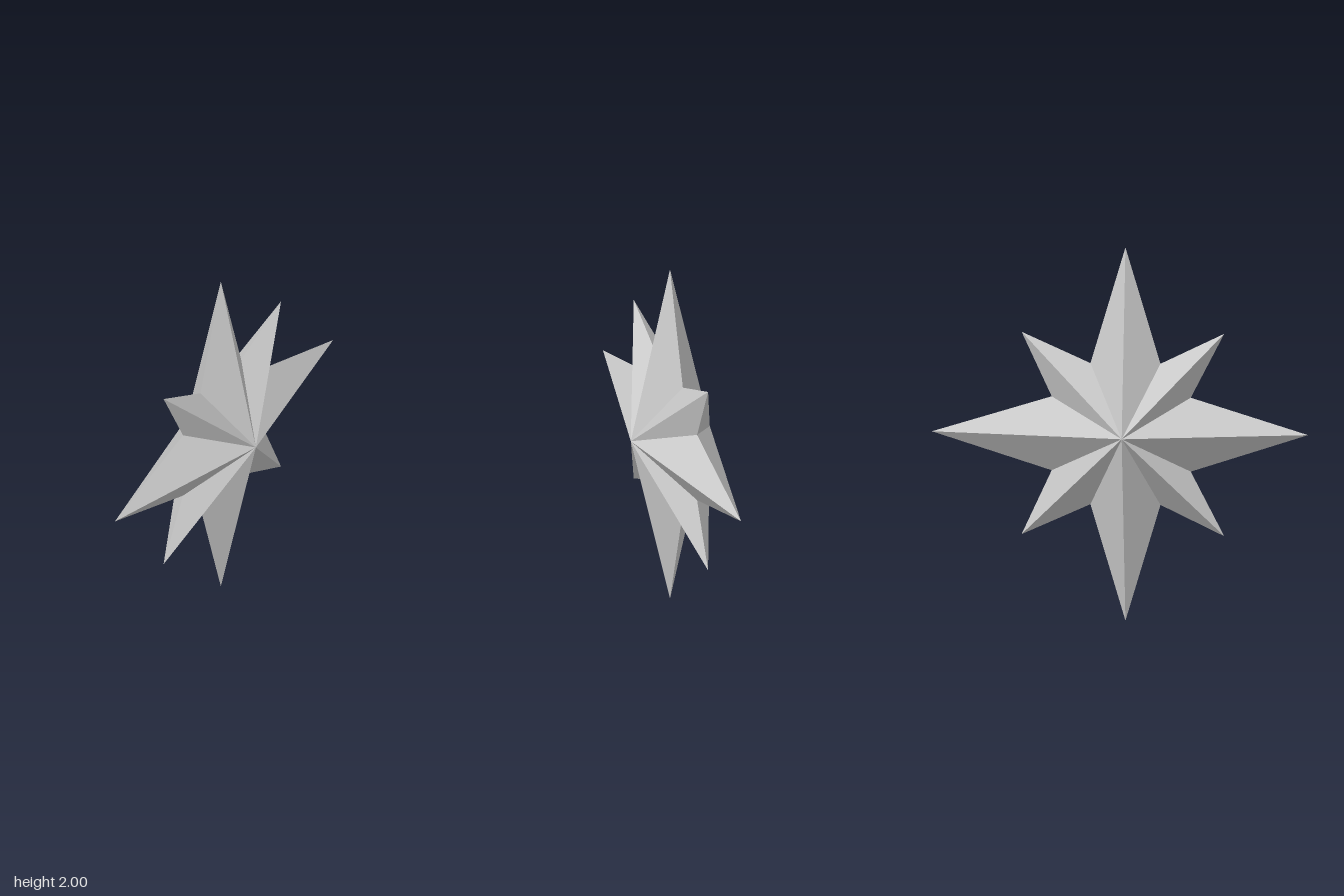
import * as THREE from 'three';

const MID_Y = 1.004;   // height of the horizontal points
const APEX_X = 0.225;  // half thickness at the hub
const APEX_Z = 0.025;

// Upper half of the star outline as [z, y], from the front point over the top to the back point
const UPPER = [
  [1, MID_Y], [0.376, 1.198], [0.554, 1.542], [0.215, 1.378], [0.029, 2],
  [-0.157, 1.378], [-0.523, 1.542], [-0.363, 1.198], [-1, MID_Y],
];

export function createModel() {
  // Mirror the upper half downwards to close the outline
  const lower = UPPER.slice(1, -1).reverse().map(([z, y]) => [z, Math.max(0, 2 * MID_Y - y - 0.008)]);
  const outline = [...UPPER, ...lower];

  // Join every outline edge to the apex on each side
  const positions = [];
  outline.forEach(([z, y], i) => {
    const [nz, ny] = outline[(i + 1) % outline.length];
    positions.push(APEX_X, MID_Y, APEX_Z, 0, ny, nz, 0, y, z);
    positions.push(-APEX_X, MID_Y, APEX_Z, 0, y, z, 0, ny, nz);
  });
  const geometry = new THREE.BufferGeometry();
  geometry.setAttribute('position', new THREE.Float32BufferAttribute(positions, 3));
  geometry.computeVertexNormals();

  const star = new THREE.Mesh(geometry, new THREE.MeshStandardMaterial({ color: 0xcccccc, flatShading: true }));
  star.name = 'eightPointedStar';
  const group = new THREE.Group();
  group.name = 'starOrnament';
  group.add(star);
  return group;
}
